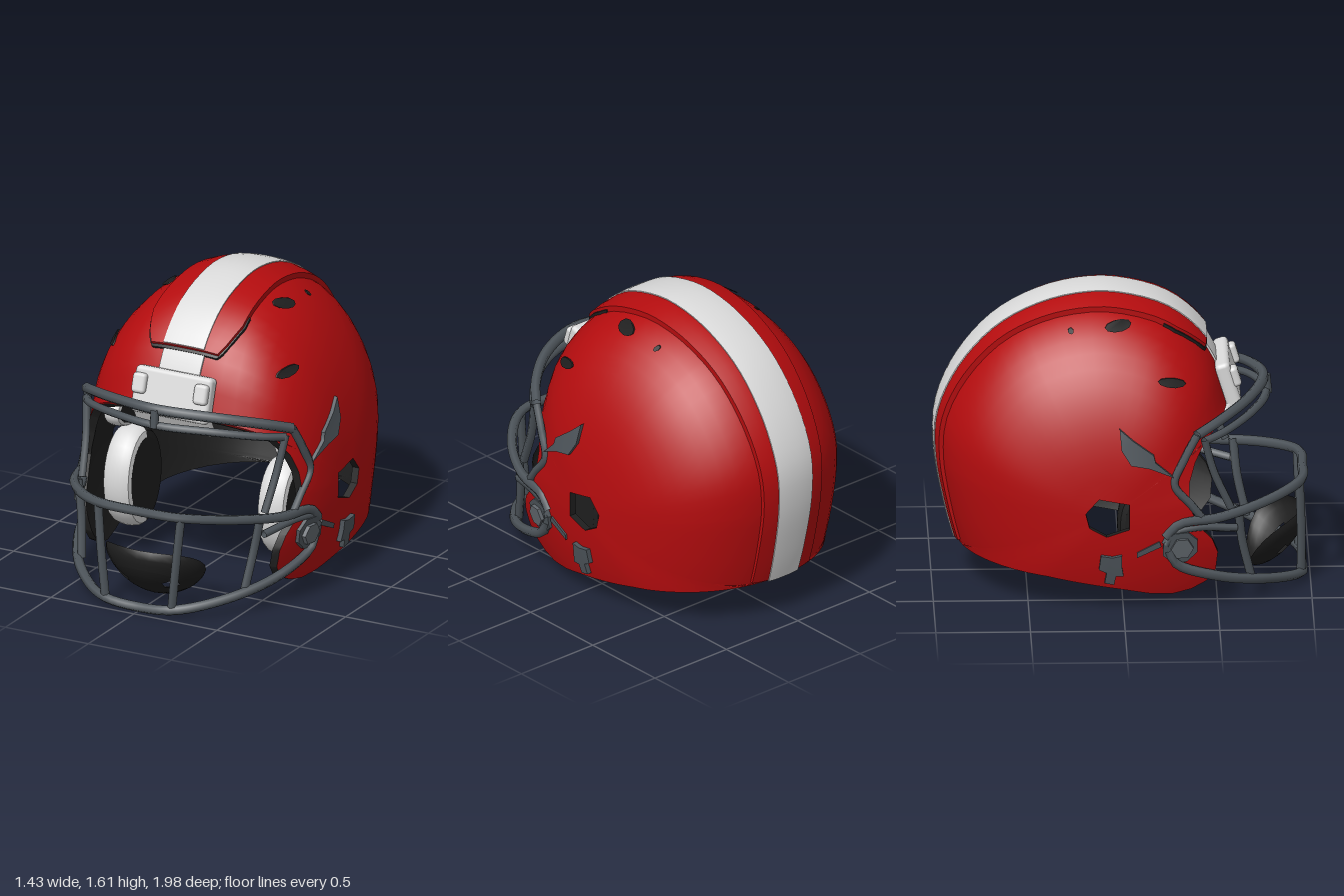
import * as THREE from 'three';
import { toCreasedNormals } from 'three/addons/utils/BufferGeometryUtils.js';
import { RoundedBoxGeometry } from 'three/addons/geometries/RoundedBoxGeometry.js';

const paint = (name, color) => {
  const m = new THREE.MeshStandardMaterial({ color, side: THREE.DoubleSide });
  m.name = name;
  return m;
};

// Shell is polar around the ear hole; all profile points are [z, y]
const CZ = -0.08, CY = 0.53, W = 0.7, DEG = Math.PI / 180, TURN = Math.PI * 2;
const cross = (a, b) => a[0] * b[1] - a[1] * b[0];

// Distance from the ear hole centre to a closed outline at angle a
function radial(points) {
  const pts = points.map(([z, y]) => [z - CZ, y - CY]);
  return (a) => {
    const d = [Math.cos(a), Math.sin(a)];
    for (let i = 0; i < pts.length; i++) {
      const p = pts[i], q = pts[(i + 1) % pts.length];
      const c1 = cross(p, d), c2 = cross(d, q);
      if (cross(p, q) > 1e-9 && c1 > -1e-7 && c2 > -1e-7) return cross(p, q) / (c1 + c2);
    }
    return 0.5;
  };
}

// Full centre-line profile, continued past the face and neck openings
const profile = [[0.85, 0.6], [0.66, 0.82], [0.56, 1], [0.5, 1.2], [0.4, 1.36], [0.24, 1.49], [0.03, 1.56],
  [-0.15, 1.575], [-0.4, 1.525], [-0.65, 1.39], [-0.85, 1.16], [-0.955, 0.92], [-0.965, 0.7], [-0.92, 0.42],
  [-0.87, 0.22], [-0.75, -0.15], [-0.4, -0.4], [0.1, -0.45], [0.6, -0.25], [0.95, 0.2]];
const smooth = new THREE.CatmullRomCurve3(profile.map(([z, y]) => new THREE.Vector3(z, y, 0)), true);
const fullR = radial(smooth.getPoints(200).slice(0, -1).map((v) => [v.x, v.y]));

// Trim line of face opening, jaw and neck; far points leave the crown uncut
const trim = [[0.35, 0.7], [0.38, 0.8], [0.43, 0.89], [1, 1.33], [-0.08, 3], [-3, 0.9], [-1.6, -0.06], [-0.87, 0.22],
  [-0.4, 0.18], [0, 0.11], [0.14, 0.08], [0.26, 0.07], [0.36, 0.09], [0.44, 0.13], [0.49, 0.2], [0.5, 0.3],
  [0.47, 0.38], [0.4, 0.46], [0.35, 0.57]];
const trimR = radial(trim);
const earHole = [[0.03, 0.46], [0.03, 0.6], [-0.13, 0.63], [-0.2, 0.55], [-0.18, 0.47], [-0.09, 0.42]];
const earR = radial(earHole);

// Roundness of the cross-section, blunter towards the brow
const power = (a) => 2.2 + 0.6 * Math.max(0, Math.cos(a - 35 * DEG)) ** 4;
const shellPoint = (a, r, inset = 0) => {
  const s = Math.min(1, r / (fullR(a) - inset)), p = power(a);
  return [(W - inset) * Math.pow(1 - Math.pow(s, p), 1 / p), CY + r * Math.sin(a), CZ + r * Math.cos(a)];
};
const shellX = (z, y) => shellPoint(Math.atan2(y - CY, z - CZ), Math.hypot(y - CY, z - CZ))[0];

// Surface over rows us and nv columns
function grid(us, nv, fn, flip = false) {
  const pos = [], idx = [];
  us.forEach((u, i) => {
    for (let j = 0; j <= nv; j++) {
      pos.push(...fn(u, j, i));
      if (i && j) {
        const d = i * (nv + 1) + j, c = d - 1, b = d - nv - 1, a = b - 1;
        idx.push(...(flip ? [a, b, c, b, d, c] : [a, c, b, b, c, d]));
      }
    }
  });
  const g = new THREE.BufferGeometry();
  g.setAttribute('position', new THREE.Float32BufferAttribute(pos, 3));
  g.setIndex(idx);
  return toCreasedNormals(g, 0.6);
}

// Band over the crown between two angles, with edges dropped into the shell
function band(a0, a1, halfWidth, lift) {
  const n = 40, nv = 10;
  const us = Array.from({ length: n + 1 }, (_, i) => a0 + (a1 - a0) * Math.min(1, Math.max(0, (i - 1) / (n - 2))));
  return grid(us, nv, (deg, j, i) => {
    const t = Math.min(1, Math.max(0, (j - 1) / (nv - 2)));
    const x = halfWidth(deg) * (1 - 2 * t), edge = j === 0 || j === nv || i === 0 || i === n;
    const a = deg * DEG, p = power(a);
    const r = fullR(a) * Math.pow(1 - Math.pow(Math.abs(x) / W, p), 1 / p) + (edge ? -0.004 : lift(deg));
    return [x, CY + r * Math.sin(a), CZ + r * Math.cos(a)];
  });
}

// Plate drawn in side view, pushed out to xAt(z, y)
function sidePlate(points, depth, xAt) {
  const shape = new THREE.Shape(points.map(([z, y]) => new THREE.Vector2(z, y)));
  const g = new THREE.ExtrudeGeometry(shape, { depth, bevelEnabled: false });
  const p = g.attributes.position;
  for (let i = 0; i < p.count; i++) {
    const z = p.getX(i), y = p.getY(i);
    p.setXYZ(i, xAt(z, y) + p.getZ(i), y, z);
  }
  for (let i = 0; i < p.count; i += 3) {
    const a = new THREE.Vector3().fromBufferAttribute(p, i), b = new THREE.Vector3().fromBufferAttribute(p, i + 2);
    p.setXYZ(i, b.x, b.y, b.z);
    p.setXYZ(i + 2, a.x, a.y, a.z);
  }
  return toCreasedNormals(g, 0.6);
}
const oval = (z, y, rz, ry, tilt = 0, n = 10) => Array.from({ length: n }, (_, i) => {
  const t = (i / n) * TURN, u = rz * Math.cos(t), v = ry * Math.sin(t);
  return [z + u * Math.cos(tilt) - v * Math.sin(tilt), y + u * Math.sin(tilt) + v * Math.cos(tilt)];
});

// Rounded rim of an oval pad between two angles in degrees
const padRim = (x, z, y, half, rz, ry, from, to) => grid(
  Array.from({ length: 17 }, (_, i) => (from + ((to - from) * i) / 16) * DEG), 8, (a, j) => {
    const t = (j / 8) * Math.PI, k = 0.78 + 0.22 * Math.sqrt(Math.max(0, Math.sin(t)));
    return [x + half * Math.cos(t), y + ry * k * Math.sin(a), z + rz * k * Math.cos(a)];
  });

export function createModel() {
  const red = paint('shell red', 0xb40c0e), white = paint('white', 0xdadada), black = paint('padding black', 0x1e1e1e);
  const grey = paint('mask grey', 0x4e555b), steel = paint('fitting grey', 0x62686e), maroon = paint('dark red', 0x5e0e10);
  const model = new THREE.Group(), side = new THREE.Group();
  const add = (parent, name, geometry, material) => {
    const m = new THREE.Mesh(geometry, material);
    m.name = name;
    parent.add(m);
    return m;
  };

  // Half shell: outside, lining and rims, with finer rows at the brow and nape corners
  const angles = [...Array.from({ length: 72 }, (_, i) => i * 5 * DEG),
    ...Array.from({ length: 16 }, (_, i) => (201.6 + i * 0.4) * DEG),
    ...Array.from({ length: 8 }, (_, i) => (34.6 + i * 0.3) * DEG),
    ...[...trim, ...earHole].map(([z, y]) => (Math.atan2(y - CY, z - CZ) + TURN) % TURN)].sort((a, b) => a - b);
  angles.push(angles[0] + TURN);
  const T = 0.04, NV = 14;
  const surface = (inset) => (a, j) => {
    const lo = earR(a), hi = Math.min(trimR(a), fullR(a) - inset);
    return shellPoint(a, lo + (hi - lo) * Math.sin((j / NV) * Math.PI / 2), inset);
  };
  const outer = surface(0), inner = surface(T);
  add(side, 'shell', grid(angles, NV, outer, true), red);
  add(side, 'lining', grid(angles, NV, inner), black);
  add(side, 'shellRim', grid(angles, 1, (a, j) => (j ? inner : outer)(a, NV), true), black);
  add(side, 'earHoleRim', grid(angles, 1, (a, j) => (j ? inner : outer)(a, 0)), black);

  // Vents and fittings that follow the shell
  const onShell = (lift) => (z, y) => shellX(z, y) + lift;
  add(side, 'browVent', sidePlate(oval(0.26, 1.22, 0.075, 0.022, -0.2), 0.009, onShell(0.004)), black);
  add(side, 'crownVent', sidePlate(oval(-0.02, 1.48, 0.07, 0.022, 0.08), 0.009, onShell(0.01)), black);
  add(side, 'rivet', sidePlate(oval(-0.27, 1.455, 0.015, 0.012), 0.008, onShell(0.004)), black);
  add(side, 'upperClip', sidePlate([[0.27, 0.74], [0.14, 0.8], [0.04, 0.82], [-0.01, 0.9], [-0.02, 1.01],
    [0.05, 0.95], [0.16, 0.87], [0.17, 0.83]], 0.028, onShell(-0.008)), grey);
  add(side, 'lowerClip', sidePlate([[0, 0.2], [-0.04, 0.2], [-0.05, 0.15], [-0.1, 0.16], [-0.09, 0.22], [-0.13, 0.24],
    [-0.12, 0.32], [-0.06, 0.31], [-0.01, 0.32], [-0.01, 0.26]], 0.035, onShell(-0.008)), grey);
  add(side, 'jawClip', sidePlate(oval(0.3, 0.35, 0.1, 0.09, 0.4, 8), 0.025, onShell(-0.005)), grey);
  add(side, 'jawBolt', sidePlate(oval(0.31, 0.35, 0.06, 0.06, 0, 6), 0.03, onShell(0.01)), steel);
  add(side, 'strapTab', sidePlate([[0.2, 0.36], [0.07, 0.3], [0.07, 0.33], [0.19, 0.39]], 0.015, onShell(-0.004)), grey);

  // Cheek and temple pads: black with a white front
  for (const [name, x, z, y, half, rz, ry] of [['cheekPad', 0.465, 0.17, 0.425, 0.08, 0.2, 0.28],
    ['templePad', 0.515, 0.15, 0.8, 0.045, 0.18, 0.1]]) {
    add(side, name, sidePlate(oval(z, y, rz * 0.79, ry * 0.79, 0, 24), half * 2, () => x - half), black);
    add(side, name + 'Front', padRim(x, z, y, half, rz, ry, -95, 95), white);
    add(side, name + 'Back', padRim(x, z, y, half, rz, ry, 95, 265), black);
  }

  // Mask bars repeated on each side
  const bar = (parent, name, pts, r = 0.023) => {
    const c = new THREE.CatmullRomCurve3(pts.map((p) => new THREE.Vector3(...p)), false, 'centripetal');
    add(parent, name, new THREE.TubeGeometry(c, pts.length * 5, r, 6), grey);
  };
  bar(side, 'sideFrameBar', [[0.62, 0.96, 0.39], [0.645, 0.83, 0.32], [0.66, 0.7, 0.27], [0.65, 0.58, 0.36], [0.64, 0.5, 0.42]]);
  bar(side, 'upperUpright', [[0.6, 0.93, 0.43], [0.575, 0.74, 0.48], [0.55, 0.53, 0.57]]);
  bar(side, 'lowerUpright', [[0.55, 0.53, 0.61], [0.52, 0.34, 0.63], [0.49, 0.12, 0.68]]);
  bar(side, 'frontUpright', [[0.25, 0.57, 0.94], [0.225, 0.3, 0.95], [0.2, 0.05, 0.95]]);
  bar(side, 'jawBar', [[0.56, 0.42, 0.6], [0.64, 0.45, 0.38], [0.67, 0.43, 0.26], [0.68, 0.37, 0.22]]);

  // Mirror the half
  side.name = 'leftSide';
  const other = side.clone();
  other.name = 'rightSide';
  other.scale.x = -1;
  model.add(side, other);

  // Mask bars that cross the middle
  const crossBar = (name, half, r) => bar(model, name,
    [...half.slice(1).reverse().map(([x, y, z]) => [-x, y, z]), ...half], r);
  crossBar('browBarTop', [[0, 1.075, 0.755], [0.3, 1.055, 0.67], [0.52, 1.005, 0.51], [0.62, 0.96, 0.39]], 0.029);
  crossBar('browBarBottom', [[0, 0.99, 0.77], [0.3, 0.98, 0.69], [0.52, 0.94, 0.53], [0.6, 0.92, 0.43]]);
  crossBar('middleBar', [[0, 0.57, 0.96], [0.24, 0.57, 0.945], [0.46, 0.54, 0.77], [0.62, 0.5, 0.51], [0.67, 0.48, 0.29], [0.68, 0.41, 0.22]], 0.027);
  crossBar('chinBar', [[0, 0.028, 0.96], [0.22, 0.045, 0.945], [0.46, 0.1, 0.75], [0.61, 0.17, 0.5], [0.67, 0.26, 0.28], [0.675, 0.34, 0.24]], 0.027);
  bar(model, 'browLink', [[0, 1.08, 0.77], [0, 1.03, 0.775], [0, 0.98, 0.78]], 0.026);

  // Raised crown panel with dark gap at its front edge
  const lift = (d) => (d < 140 ? 0.028 : 0.028 - (d - 140) * 0.00025);
  const width = (d) => (d < 68 ? 0.17 + 0.1 * Math.sqrt((d - 55) / 13) : 0.27 - Math.min(0.07, (d - 68) * 0.0007));
  add(model, 'panelGap', band(55.3, 72, (d) => width(d) + 0.007, () => 0.012), black);
  add(model, 'crownPanel', band(56.2, 200.5, width, lift), red);

  // Centre stripe
  add(model, 'frontStripe', band(38, 55.4, () => 0.122, () => 0.009), white);
  add(model, 'crownStripe', band(56.4, 200.8, (d) => (d < 150 ? 0.122 : 0.122 - (d - 150) * 0.0004), (d) => lift(d) + 0.005), white);

  // Brow bumper
  const bumper = add(model, 'browBumper', new RoundedBoxGeometry(0.46, 0.25, 0.08, 2, 0.025), white);
  bumper.position.set(0, 1.095, 0.565);
  bumper.rotation.x = -0.3;
  const lip = add(model, 'browLip', new RoundedBoxGeometry(0.46, 0.13, 0.05, 2, 0.02), white);
  lip.position.set(0, 0.95, 0.56);
  lip.rotation.x = 0.5;
  for (const s of [-1, 1]) {
    const knob = add(model, 'bumperKnob', new RoundedBoxGeometry(0.08, 0.11, 0.05, 2, 0.02), white);
    knob.position.set(s * 0.185, 1.14, 0.6);
    knob.rotation.x = -0.3;
  }

  // Chin cup: bowl rings [from, to, first step, steps of 15 degrees] with two slots, ends curled back
  const cup = new THREE.Group();
  cup.name = 'chinCup';
  for (const [from, to, start, steps] of [[0.68, Math.PI / 2, 0, 24], [0.38, 0.68, 1, 10], [0.38, 0.68, 13, 10], [0, 0.38, 0, 24]]) {
    const step = TURN / 24;
    const g = new THREE.SphereGeometry(1, steps, 4, start * step, steps * step, Math.PI - to, to - from);
    const p = g.attributes.position;
    for (let i = 0; i < p.count; i++) p.setY(i, p.getY(i) + 0.8 * p.getX(i) ** 2);
    g.computeVertexNormals();
    add(cup, 'cupPart', g, black);
  }
  cup.scale.set(0.29, 0.1, 0.21);
  cup.position.set(0, 0.195, 0.81);
  cup.rotation.x = -0.8;
  model.add(cup);

  // Rear pad with a dark red frame inside
  add(model, 'rearPadFrame', new RoundedBoxGeometry(0.36, 0.3, 0.03, 2, 0.014), maroon).position.set(0, 0.59, -0.86);
  add(model, 'rearPad', new RoundedBoxGeometry(0.17, 0.14, 0.03, 2, 0.014), black).position.set(0, 0.59, -0.85);

  model.name = 'helmet';
  return model;
}
